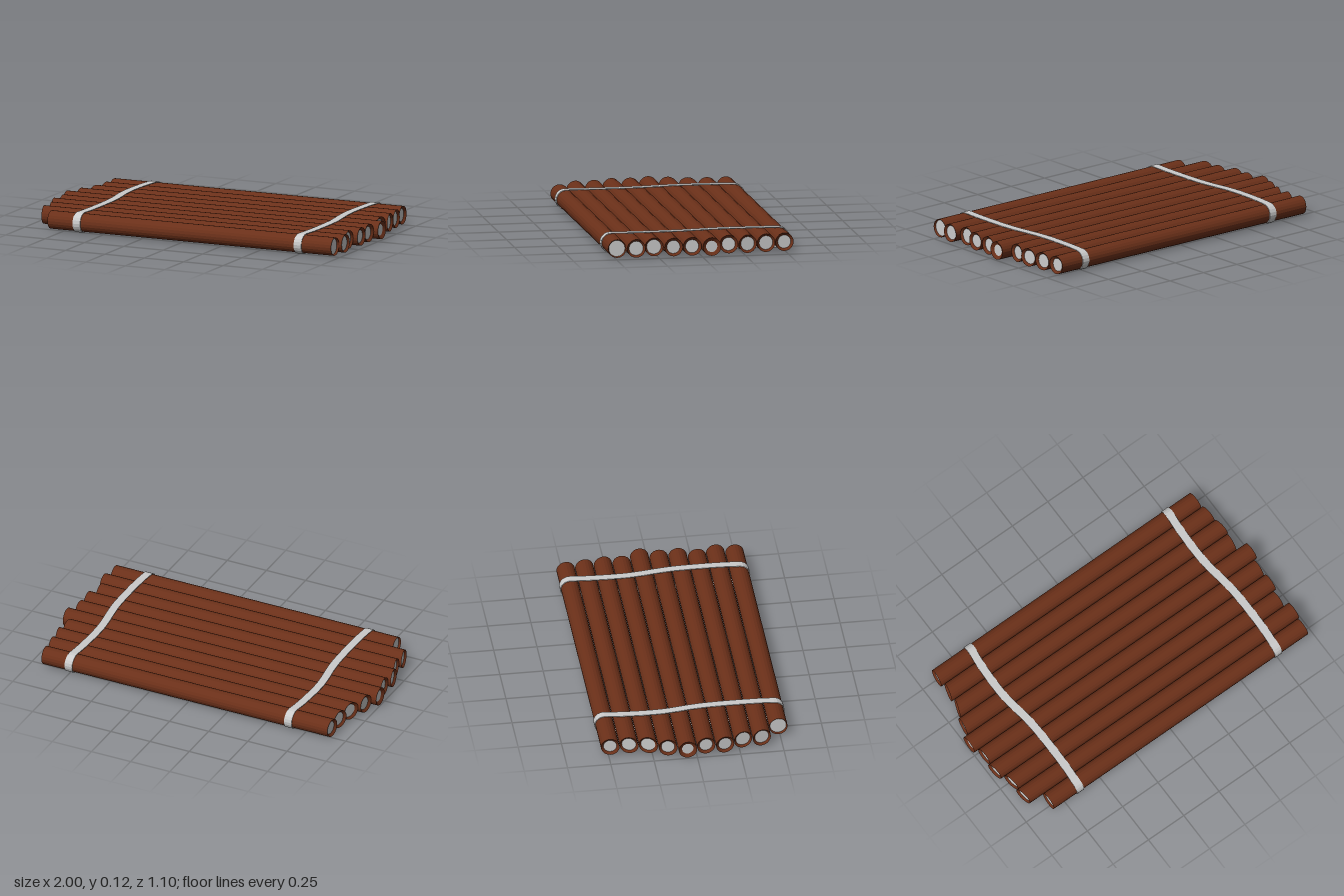
import * as THREE from 'three';

const bark = new THREE.MeshStandardMaterial({ color: 0x6b3019, flatShading: true, side: THREE.DoubleSide });
const grey = new THREE.MeshStandardMaterial({ color: 0xcccccc, side: THREE.DoubleSide });

const R = 0.053, MID = 0.0588, PITCH = 0.109, SIDES = 20, RECESS = 0.012;

// one row per log, back to front:
// left end x (back edge, front edge), right end x (back edge, front edge), cut-face radius
const LOGS = [
  [-0.905, -0.915, 0.920, 0.925, 0.038],
  [-0.895, -0.920, 0.930, 0.940, 0.040],
  [-0.905, -0.940, 0.940, 0.955, 0.040],
  [-0.955, -0.970, 0.945, 0.935, 0.038],
  [-1.000, -1.000, 1.000, 1.000, 0.033],
  [-0.975, -0.970, 0.975, 0.970, 0.038],
  [-0.985, -0.970, 0.975, 0.975, 0.038],
  [-0.950, -0.930, 0.950, 0.950, 0.042],
  [-0.945, -0.925, 0.980, 0.980, 0.041],
  [-0.835, -0.835, 0.965, 0.965, 0.047],
];

// turned profile laid along x, its two ends (y = -1 and y = 1) moved to the slanted cuts
function turned(profile, [l0, l1, r0, r1]) {
  const geo = new THREE.LatheGeometry(profile.map(([r, y]) => new THREE.Vector2(r, y)), SIDES);
  geo.rotateZ(-Math.PI / 2);
  const p = geo.attributes.position;
  for (let i = 0; i < p.count; i++) {
    const x = p.getX(i), t = (p.getZ(i) / R + 1) / 2;
    p.setX(i, x < 0 ? x + 1 + l0 + (l1 - l0) * t : x - 1 + r0 + (r1 - r0) * t);
  }
  geo.computeVertexNormals();
  return geo;
}

function makeLog(row) {
  const log = new THREE.Group();
  log.name = 'log';
  const c = row[4], e = 1 - RECESS;
  const add = (name, profile, mat) => {
    const m = new THREE.Mesh(turned(profile, row), mat);
    m.name = name;
    log.add(m);
  };
  add('bark', [[c, -e], [R, -1], [R, 1], [c, e]], bark);
  add('leftCut', [[0, -e], [c, -e]], grey);
  add('rightCut', [[c, e], [0, e]], grey);
  return log;
}

// closed band around the whole row; it wanders in x across the top and runs straight below
function makeStrap(x0, wander) {
  const H = 0.0585, ZC = 4.5 * PITCH, T = 0.004, W = 0.048, TOP = 24, ARC = 10;
  const path = new THREE.CatmullRomCurve3(wander.map(([z, x]) => new THREE.Vector3(x, 0, z)));
  const loop = []; // x, z, y, normal z, normal y
  for (let i = 0; i <= TOP; i++) {
    const p = path.getPoint(i / TOP);
    loop.push([p.x, p.z, H, 0, 1]);
  }
  const arc = (sign) => {
    const xa = wander[sign > 0 ? wander.length - 1 : 0][1];
    for (let i = 1; i <= ARC; i++) {
      const k = sign > 0 ? i / ARC : 1 - (i - 1) / ARC, a = k * Math.PI;
      const nz = sign * Math.sin(a), ny = Math.cos(a);
      loop.push([xa + (x0 - xa) * k, sign * ZC + nz * H, ny * H, nz, ny]);
    }
  };
  arc(1);
  arc(-1);
  const pos = [], n = loop.length;
  const corner = ([x, z, y, nz, ny], side, inner) =>
    [x + side * W / 2, MID + y - ny * T * inner, z - nz * T * inner];
  // outer face, right edge, inner face, left edge
  const rim = [[-1, 0], [1, 0], [1, 1], [-1, 1]];
  for (let i = 0; i < n; i++) {
    const a = loop[i], b = loop[(i + 1) % n];
    for (let k = 0; k < 4; k++) {
      const s = rim[k], t = rim[(k + 1) % 4];
      const A = corner(a, ...s), B = corner(a, ...t), C = corner(b, ...t), D = corner(b, ...s);
      pos.push(...A, ...C, ...B, ...A, ...D, ...C);
    }
  }
  const geo = new THREE.BufferGeometry();
  geo.setAttribute('position', new THREE.Float32BufferAttribute(pos, 3));
  geo.computeVertexNormals();
  return new THREE.Mesh(geo, grey);
}

export function createModel() {
  const raft = new THREE.Group();
  raft.name = 'logRaft';

  // row of logs
  LOGS.forEach((row, i) => {
    const log = makeLog(row);
    log.position.set(0, MID, (i - 4.5) * PITCH);
    raft.add(log);
  });

  // two binding straps
  const left = makeStrap(-0.65, [[-0.49, -0.658], [-0.4, -0.669], [-0.2, -0.676], [-0.1, -0.668],
    [0, -0.653], [0.08, -0.645], [0.2, -0.641], [0.4, -0.643], [0.49, -0.649]]);
  left.name = 'leftStrap';
  const right = makeStrap(0.75, [[-0.49, 0.743], [-0.4, 0.735], [-0.2, 0.73], [-0.1, 0.737],
    [0, 0.751], [0.08, 0.761], [0.2, 0.766], [0.4, 0.764], [0.49, 0.757]]);
  right.name = 'rightStrap';
  raft.add(left, right);
  return raft;
}
